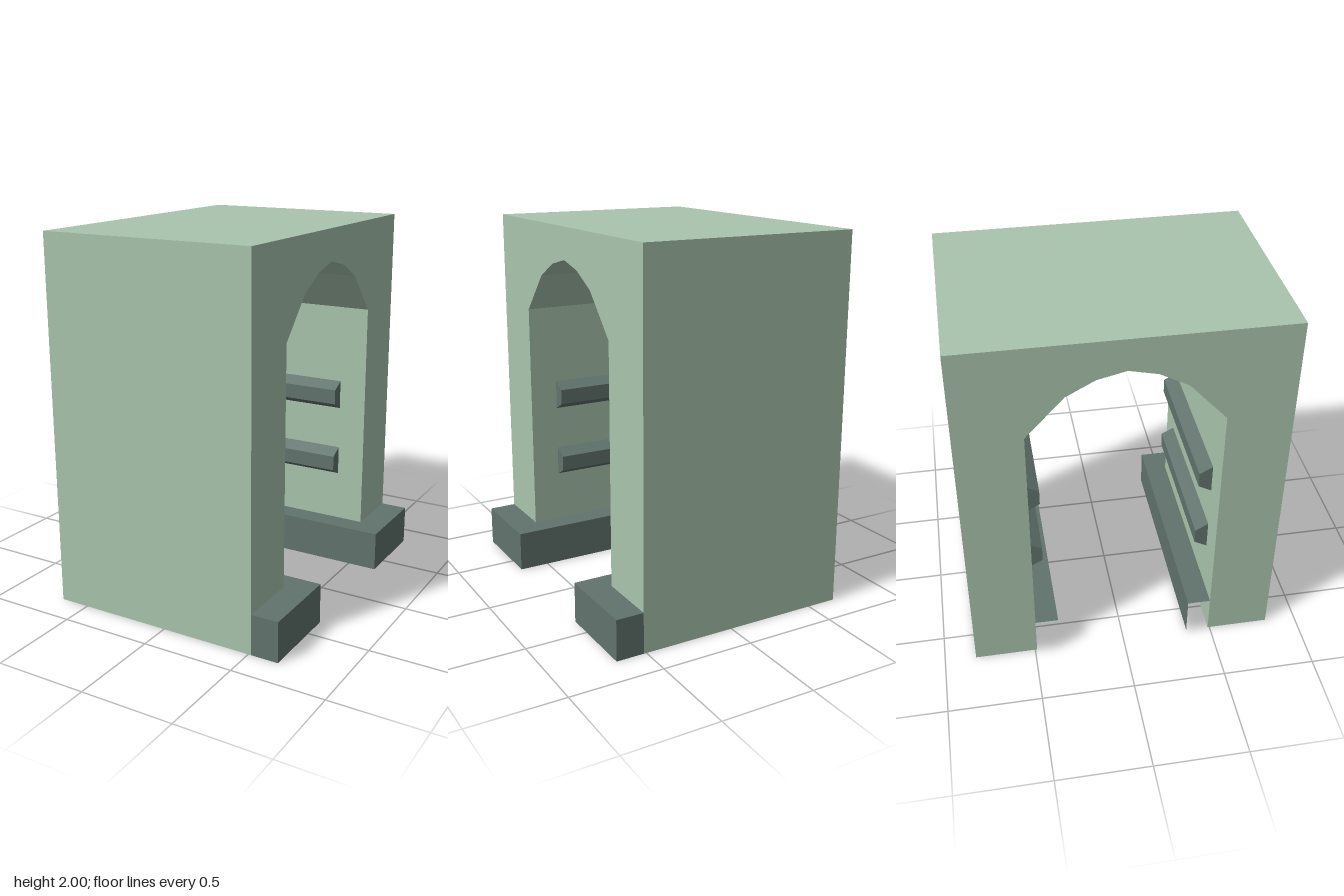
import * as THREE from 'three';

const green = new THREE.MeshStandardMaterial({ color: 0xa9c5ae, flatShading: true });
const slate = new THREE.MeshStandardMaterial({ color: 0x61736d, flatShading: true });

const BACK = -0.665, WALL_END = 0.515, FRONT = 0.665;
const OUTER = 0.83, INNER = 0.49, BASE_INNER = 0.365, BASE_HEIGHT = 0.22;

// Extrudes a (z, y) outline along x between two positions.
function extrudeX(points, x0, x1) {
  const shape = new THREE.Shape(points.map(([z, y]) => new THREE.Vector2(-z, y)));
  const geometry = new THREE.ExtrudeGeometry(shape, { depth: x1 - x0, bevelEnabled: false });
  return geometry.rotateY(Math.PI / 2).translate(x0, 0, 0);
}

// Box between two corners; the listed faces (0 = +x, 1 = -x) are left open.
function boxBetween(x0, x1, y0, y1, z0, z1, open = []) {
  const geometry = new THREE.BoxGeometry(x1 - x0, y1 - y0, z1 - z0);
  geometry.translate((x0 + x1) / 2, (y0 + y1) / 2, (z0 + z1) / 2);
  const index = Array.from(geometry.index.array);
  geometry.setIndex(index.filter((_, i) => !open.includes(Math.floor(i / 6))));
  geometry.clearGroups();
  return geometry;
}

function add(parent, name, geometry, material) {
  const mesh = new THREE.Mesh(geometry, material);
  mesh.name = name;
  parent.add(mesh);
}

export function createModel() {
  const model = new THREE.Group();
  model.name = 'archway';

  // Block with a faceted arched passage running through it
  const arch = [[INNER, 1.5], [0.295, 1.715], [0.147, 1.795]];
  const half = [[OUTER, 2], [OUTER, 0], [INNER, 0], ...arch];
  const mirrored = half.map(([z, y]) => [-z, y]).reverse();
  add(model, 'archBody', extrudeX([...half, [0, 1.83], ...mirrored], BACK, WALL_END), green);

  for (const side of [1, -1]) {
    const label = side > 0 ? 'front' : 'back';
    const zRange = (a, b) => [Math.min(a * side, b * side), Math.max(a * side, b * side)];

    // L-shaped plinth: a strip inside the passage and a block before the wall end
    const plinth = new THREE.Group();
    plinth.name = label + 'Plinth';
    add(plinth, 'plinthStrip',
      boxBetween(BACK, WALL_END, 0, BASE_HEIGHT, ...zRange(BASE_INNER, INNER), [0, 1]), slate);
    add(plinth, 'plinthBlock',
      boxBetween(WALL_END, FRONT, 0, BASE_HEIGHT, ...zRange(BASE_INNER, OUTER), [1]), slate);
    model.add(plinth);

    // Two tapered rails on the passage wall
    [0.582, 0.985].forEach((y, i) => {
      const profile = [[INNER, y - 0.081], [INNER, y + 0.081], [0.42, y + 0.042], [0.42, y - 0.042]]
        .map(([z, h]) => [z * side, h]);
      add(model, `${label}${i ? 'Upper' : 'Lower'}Rail`, extrudeX(profile, -0.51, 0.36), slate);
    });
  }
  return model;
}
